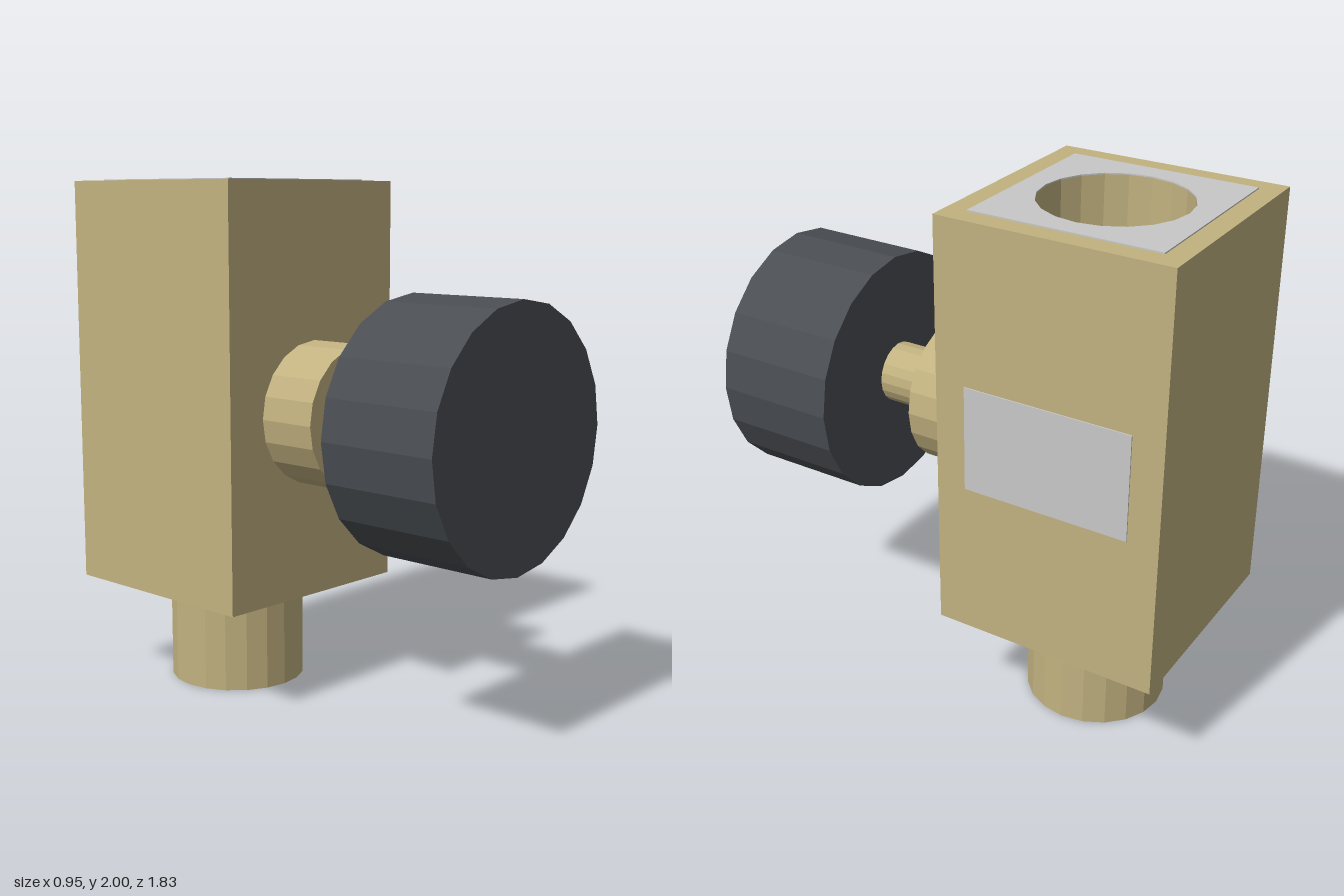
import * as THREE from 'three';

const SIDES = 20;

export function createModel() {
  const model = new THREE.Group();
  model.name = 'valve';

  const material = (name, color) => {
    const m = new THREE.MeshStandardMaterial({ color, flatShading: true });
    m.name = name;
    return m;
  };
  const brass = material('sandBrass', 0xc2b280);
  const silver = material('lightGrey', 0xc8c8c8);
  const charcoal = material('charcoal', 0x4a4e53);

  const add = (name, geometry, mat, x, y, z) => {
    const mesh = new THREE.Mesh(geometry, mat);
    mesh.name = name;
    mesh.position.set(x, y, z);
    model.add(mesh);
  };

  const bodyZ = -0.4775, half = 0.4375, boreR = 0.27, axisY = 1.125;

  // Square slab with a round bore, standing upward from y = 0
  const boredSlab = (halfSize, height) => {
    const s = halfSize;
    const shape = new THREE.Shape([[-s, -s], [s, -s], [s, s], [-s, s]].map(p => new THREE.Vector2(...p)));
    const ring = [];
    for (let i = 0; i < SIDES; i++) {
      const a = -i / SIDES * Math.PI * 2;
      ring.push(new THREE.Vector2(Math.cos(a) * boreR, Math.sin(a) * boreR));
    }
    shape.holes.push(new THREE.Path(ring));
    return new THREE.ExtrudeGeometry(shape, { depth: height, bevelEnabled: false }).rotateX(-Math.PI / 2);
  };

  // Block and the thin plate around its opening
  add('body', boredSlab(half, 1.587), brass, -0.002, 0.408, bodyZ);
  add('topPlate', boredSlab(0.357, 0.005), silver, -0.002, 1.995, bodyZ);

  // Outlet pipe; its upper end closes the bore inside the block
  const pipeTop = 1.2;
  add('outletPipe', new THREE.CylinderGeometry(boreR, boreR, pipeTop, SIDES), brass, -0.002, pipeTop / 2, bodyZ);

  // Label plate on the left side
  add('sidePlate', new THREE.BoxGeometry(0.008, 0.4, 0.64), silver, 0.4365, 1.2, -0.4775);

  // Collar, stem and hand knob along the front axis
  const turned = (name, r, z0, z1, mat) => add(name,
    new THREE.CylinderGeometry(r, r, z1 - z0, SIDES).rotateX(Math.PI / 2), mat, -0.002, axisY, (z0 + z1) / 2);
  turned('collar', 0.275, -0.04, 0.2, brass);
  turned('stem', 0.118, 0.2, 0.44, brass);
  turned('knob', 0.475, 0.44, 0.915, charcoal);

  return model;
}
